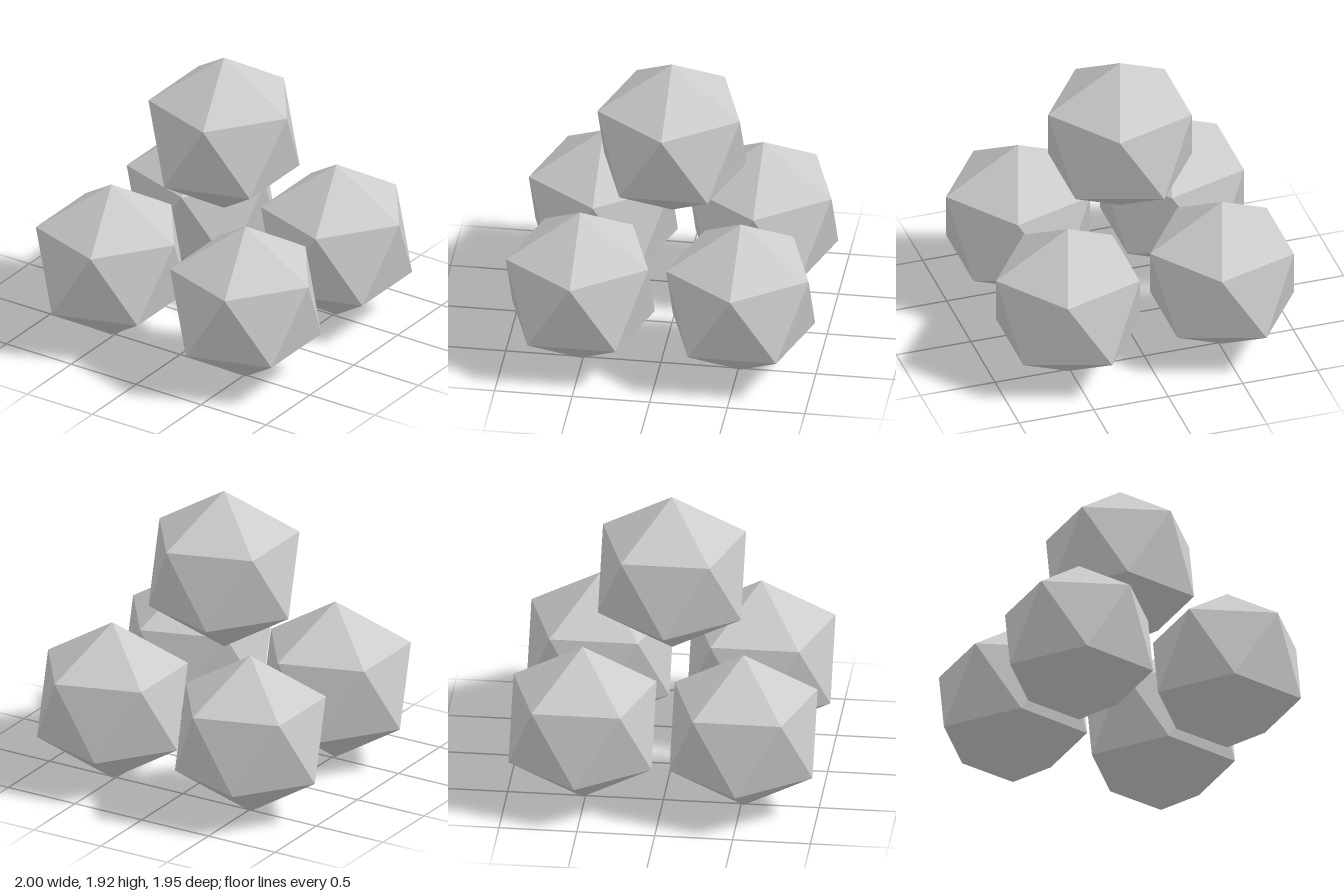
import * as THREE from 'three';

const RADIUS = 0.54;   // centre to vertex
const OFFSET = 0.517;  // spacing of the lower four from the axis

export function createModel() {
  const model = new THREE.Group();
  model.name = 'icosahedronPyramid';

  const material = new THREE.MeshStandardMaterial({ color: 0xcccccc, flatShading: true });
  material.name = 'light grey';

  // Tilt so one vertex points straight up and the upper ring has a vertex on +x
  const golden = (1 + Math.sqrt(5)) / 2;
  const geometry = new THREE.IcosahedronGeometry(RADIUS, 0);
  geometry.rotateZ(-Math.atan(1 / golden));

  function addIcosahedron(name, x, y, z) {
    const mesh = new THREE.Mesh(geometry, material);
    mesh.name = name;
    mesh.position.set(x, y, z);
    model.add(mesh);
  }

  // Base layer: four in a square
  for (const [side, sx] of [['Left', 1], ['Right', -1]]) {
    for (const [end, sz] of [['front', 1], ['back', -1]]) {
      addIcosahedron(`${end}${side}Icosahedron`, sx * OFFSET, RADIUS, sz * OFFSET);
    }
  }

  // Single one above the middle
  addIcosahedron('topIcosahedron', 0, 1.38, 0);

  return model;
}
